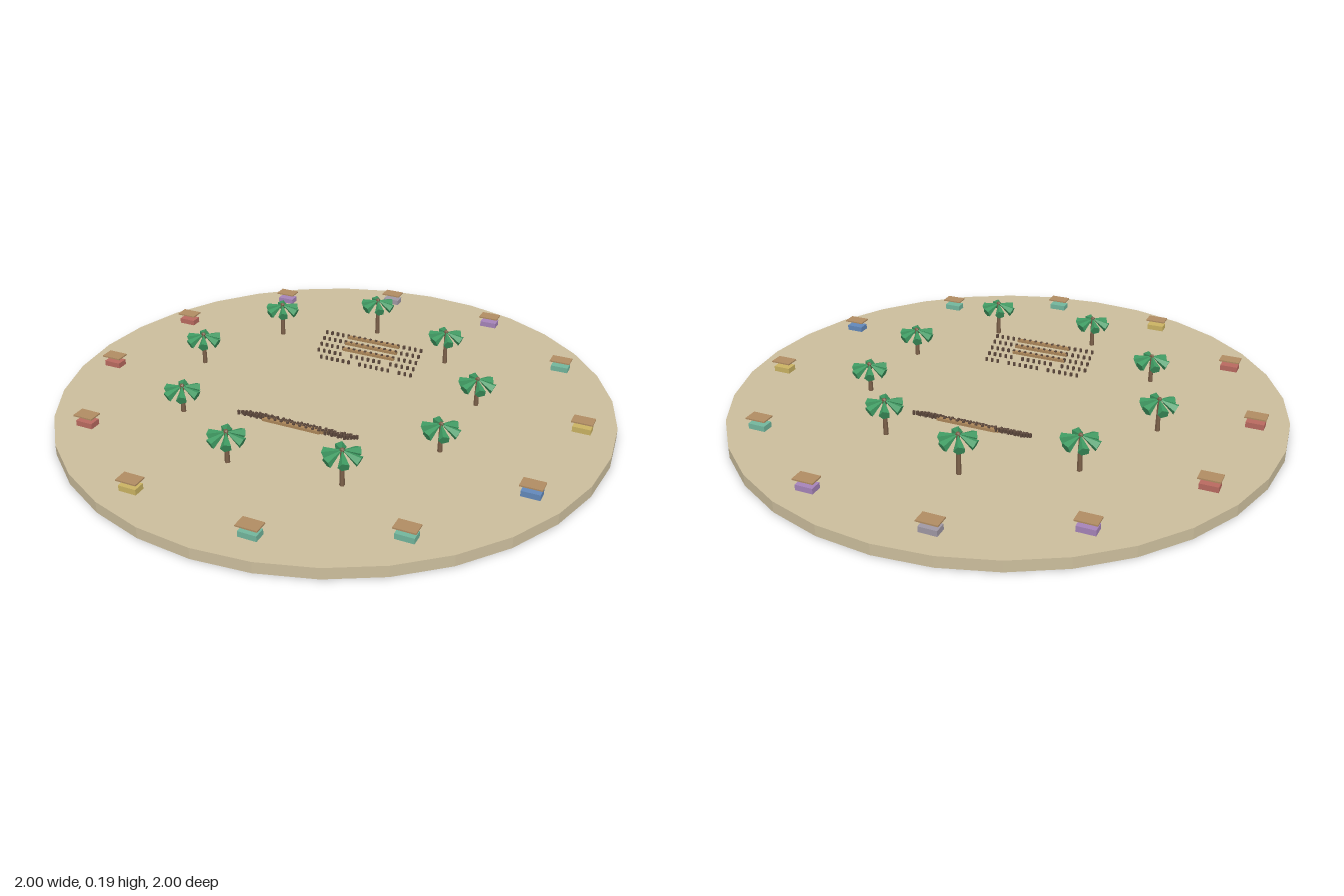
import * as THREE from 'three';
import { mergeGeometries } from 'three/addons/utils/BufferGeometryUtils.js';

const GROUND = 0.04;
const mat = (color) => new THREE.MeshStandardMaterial({ color, flatShading: true });

function mesh(name, geometry, material, x = 0, y = 0, z = 0) {
  const m = new THREE.Mesh(geometry, material);
  m.name = name;
  m.position.set(x, y, z);
  return m;
}

// Palm: thin trunk with six drooping cone fronds that widen outward
function createPalm(x, z, top, trunkMat, leafMat) {
  const palm = new THREE.Group();
  palm.name = 'palm';
  palm.position.set(x, GROUND, z);
  const h = top - GROUND;
  palm.add(mesh('trunk', new THREE.CylinderGeometry(0.006, 0.009, h, 6), trunkMat, 0, h / 2, 0));
  palm.add(mesh('crownHeart', new THREE.IcosahedronGeometry(0.009, 0), trunkMat, 0, h, 0));
  const fronds = [];
  for (let i = 0; i < 6; i++) {
    const g = new THREE.ConeGeometry(0.02, 0.066, 5);
    g.translate(0, -0.033, 0);
    g.rotateZ(THREE.MathUtils.degToRad(66));
    g.rotateY((i * Math.PI) / 3);
    fronds.push(g);
  }
  palm.add(mesh('fronds', mergeGeometries(fronds), leafMat, 0, h, 0));
  return palm;
}

// Stall: coloured counter with a flat roof hovering above it
function createStall(x, z, counterMat, roofMat) {
  const stall = new THREE.Group();
  stall.name = 'stall';
  stall.position.set(x, GROUND, z);
  stall.add(mesh('counter', new THREE.BoxGeometry(0.064, 0.02, 0.042), counterMat, 0, 0.01, 0));
  stall.add(mesh('roof', new THREE.BoxGeometry(0.075, 0.005, 0.05), roofMat, 0, 0.04, 0));
  return stall;
}

// Stand: five rising rows of spectators, benches under the upper three
function createStand(side, benchMat, crowdMat) {
  const stand = new THREE.Group();
  stand.name = 'stand';
  const people = [];
  for (let row = 0; row < 5; row++) {
    const z = side * (0.248 + row * 0.026);
    const y = GROUND + 0.006 + row * 0.014;
    for (let col = 0; col < 18; col++) {
      if (row < 2 && (col * 5 + row * 3) % 7 === 0) continue;
      const g = new THREE.BoxGeometry(0.008, 0.014, 0.008);
      g.translate(-0.2 + col * 0.0233, y + 0.003, z);
      people.push(g);
    }
    if (row >= 2) {
      stand.add(mesh('bench', new THREE.BoxGeometry(0.214, 0.01, 0.014), benchMat, 0, y, z));
    }
  }
  stand.add(mesh('spectators', mergeGeometries(people), crowdMat));
  return stand;
}

export function createModel() {
  const model = new THREE.Group();
  model.name = 'festivalGround';

  // Round sandy ground
  model.add(mesh('ground', new THREE.CylinderGeometry(1, 1, GROUND, 32), mat(0xcbbd9c), 0, GROUND / 2, 0));

  // Ring of twelve stalls, all facing the same way
  const red = mat(0xb8695f), yellow = mat(0xc9b262), teal = mat(0x72b59c);
  const blue = mat(0x6288ba), purple = mat(0xa583b8), grey = mat(0x9f98a4);
  const roofMat = mat(0xb08c62);
  [yellow, blue, teal, teal, yellow, red, red, red, purple, grey, purple, teal].forEach((m, i) => {
    const a = THREE.MathUtils.degToRad(-8.6 + i * 30);
    model.add(createStall(0.883 * Math.cos(a), 0.883 * Math.sin(a), m, roofMat));
  });

  // Inner ring of palms: x, z, crown height
  const trunkMat = mat(0x7a5f48), leafMat = mat(0x3f9a62);
  [
    [-0.07, -0.556, 0.185], [0.27, -0.42, 0.17], [0.485, -0.15, 0.145],
    [0.475, 0.2, 0.145], [0.265, 0.52, 0.17], [-0.13, 0.555, 0.155],
    [-0.44, 0.33, 0.142], [-0.57, -0.03, 0.16], [-0.415, -0.385, 0.17],
  ].forEach(([x, z, top]) => model.add(createPalm(x, z, top, trunkMat, leafMat)));

  // Two stands facing each other across the centre
  const benchMat = mat(0xab8659), crowdMat = mat(0x5c483c);
  for (const side of [-1, 1]) model.add(createStand(side, benchMat, crowdMat));

  return model;
}
